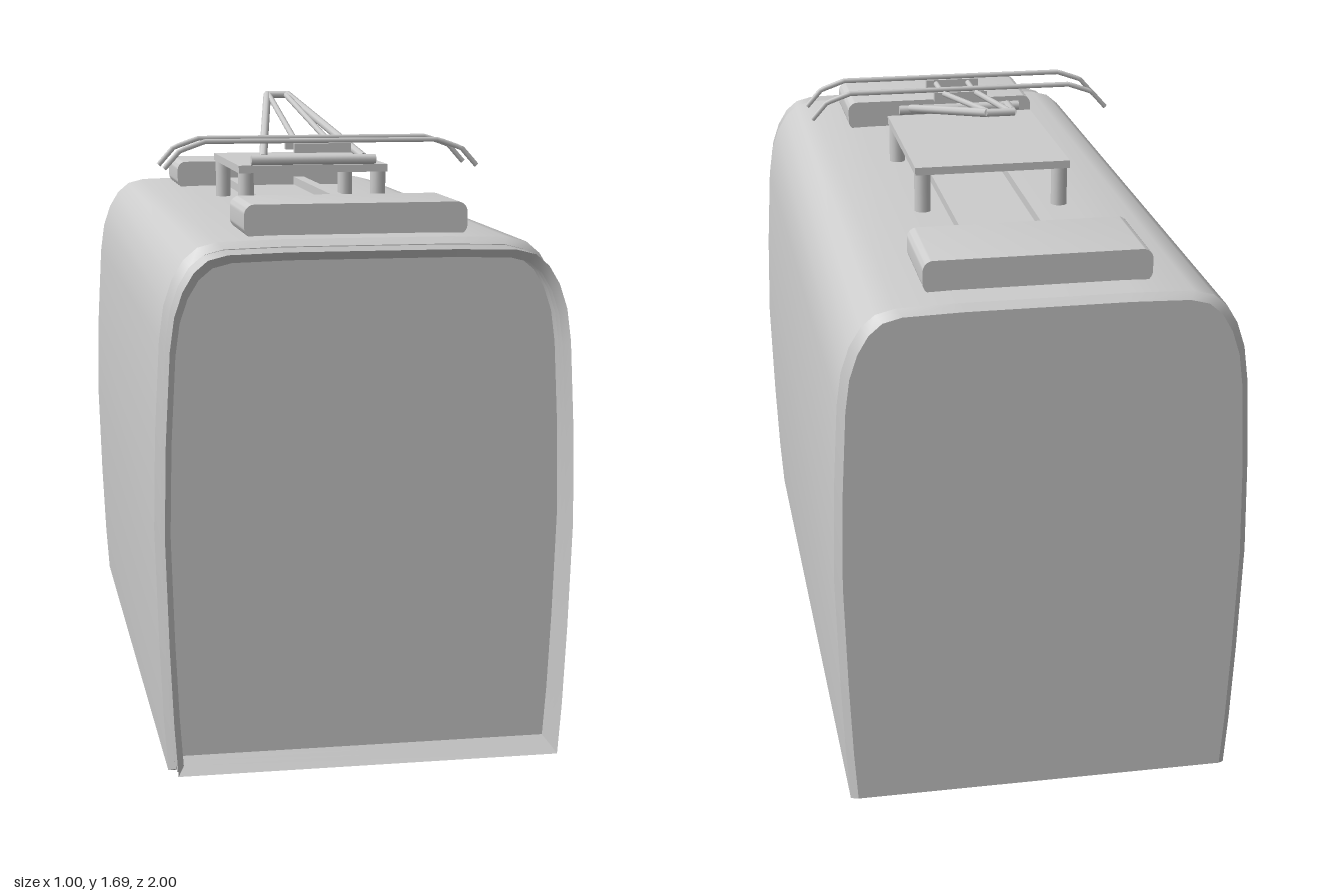
import * as THREE from 'three';
import { toCreasedNormals } from 'three/addons/utils/BufferGeometryUtils.js';

const V = (x, y, z) => new THREE.Vector3(x, y, z);

export function createModel() {
  const group = new THREE.Group();
  const grey = new THREE.MeshStandardMaterial({ color: 0xcccccc });
  grey.name = 'light grey';
  const greyOpen = new THREE.MeshStandardMaterial({ color: 0xcccccc, side: THREE.DoubleSide });
  greyOpen.name = 'light grey two-sided';

  const add = (name, geo, x = 0, y = 0, z = 0, mat = grey) => {
    const m = new THREE.Mesh(geo, mat);
    m.name = name;
    m.position.set(x, y, z);
    group.add(m);
    return m;
  };
  const box = (name, w, h, d, x, y, z) => add(name, new THREE.BoxGeometry(w, h, d), x, y, z);

  // Straight round bar between two points
  const rod = (name, a, b, r) => {
    const m = add(name, new THREE.CylinderGeometry(r, r, a.distanceTo(b), 8));
    m.position.copy(a).lerp(b, 0.5);
    m.quaternion.setFromUnitVectors(V(0, 1, 0), b.clone().sub(a).normalize());
  };

  // Car cross-section: half outline, mirrored, counter-clockwise from the front
  const half = [[0.474, 0.12], [0.483, 0.25], [0.492, 0.45], [0.5, 0.72], [0.495, 0.95], [0.483, 1.17],
    [0.472, 1.25], [0.452, 1.31], [0.425, 1.355], [0.392, 1.383], [0.345, 1.395], [0.2, 1.399]];
  const outline = [...half, ...half.map(([x, y]) => [-x, y]).reverse()];
  // One ring of the section, fitted to a half width and a height range
  const ring = (z, hw, y0, y1) =>
    outline.map(([x, y]) => V(x * hw / 0.5, y0 + (y - 0.12) / 1.279 * (y1 - y0), z));

  const loft = (rings) => {
    const pos = [], idx = [], n = outline.length;
    rings.forEach((r) => r.forEach((p) => pos.push(p.x, p.y, p.z)));
    for (let i = 0; i < rings.length - 1; i++) {
      for (let j = 0; j < n; j++) {
        const a = i * n + j, b = i * n + (j + 1) % n;
        idx.push(a, b, b + n, a, b + n, a + n);
      }
    }
    const g = new THREE.BufferGeometry();
    g.setAttribute('position', new THREE.Float32BufferAttribute(pos, 3));
    g.setIndex(idx);
    return toCreasedNormals(g, 0.6);
  };
  const cap = (r) => new THREE.ShapeGeometry(new THREE.Shape(r.map((p) => new THREE.Vector2(p.x, p.y))));

  // Body shell with small end bevels
  const endRing = (z) => ring(z, 0.482, 0.13, 1.385);
  add('body', loft([endRing(-1), ring(-0.98, 0.5, 0.12, 1.4), ring(0.88, 0.5, 0.12, 1.4), endRing(0.9)]));
  add('frontWall', cap(endRing(0.9)), 0, 0, 0.9);
  const back = add('backWall', cap(endRing(-1)), 0, 0, -1);
  back.rotation.y = Math.PI;

  // Open folded gangway bellows at the front
  const folds = [];
  for (let i = 0; i <= 6; i++) {
    const z = 0.9 + i / 60;
    folds.push(i % 2 ? ring(z, 0.472, 0.168, 1.363) : ring(z, 0.487, 0.148, 1.383));
  }
  add('gangwayBellows', loft(folds), 0, 0, 0, greyOpen);

  // Roof equipment boxes with rounded long edges
  const w = 0.27, h = 0.08, r = 0.025;
  const s = new THREE.Shape();
  s.absarc(w - r, r, r, -Math.PI / 2, 0);
  s.absarc(w - r, h - r, r, 0, Math.PI / 2);
  s.absarc(-w + r, h - r, r, Math.PI / 2, Math.PI);
  s.absarc(-w + r, r, r, Math.PI, Math.PI * 1.5);
  const boxGeo = toCreasedNormals(
    new THREE.ExtrudeGeometry(s, { depth: 0.25, bevelEnabled: false, curveSegments: 5 }), 0.6);
  for (const z of [0.543, -0.893]) add('roofBox', boxGeo, 0, 1.393, z);

  // Roof rails, pantograph posts and plate
  for (const x of [-0.103, 0.103]) {
    box('roofRail', 0.032, 0.035, 1.22, x, 1.406, -0.05);
  }
  for (const x of [-0.178, 0.178]) {
    for (const z of [0.18, -0.285]) {
      add('pantographPost', new THREE.CylinderGeometry(0.021, 0.021, 0.12, 12), x, 1.448, z);
    }
  }
  box('pantographPlate', 0.4, 0.02, 0.515, 0, 1.511, -0.055);

  // Pantograph arms
  rod('armPivot', V(-0.167, 1.535, 0.203), V(0.167, 1.535, 0.203), 0.013);
  rod('armTip', V(-0.035, 1.682, -0.41), V(0.035, 1.682, -0.41), 0.01);
  for (const k of [-1, 1]) {
    rod('lowerArm', V(k * 0.135, 1.54, 0.2), V(k * 0.03, 1.682, -0.41), 0.011);
    rod('upperArm', V(k * 0.045, 1.58, 0.19), V(k * 0.025, 1.682, -0.41), 0.008);
    rod('headLink', V(k * 0.045, 1.575, 0.18), V(k * 0.045, 1.575, 0.335), 0.008);
  }

  // Contact bows with drooping ends
  const bow = new THREE.CurvePath();
  const pts = [[-0.41, 1.525], [-0.37, 1.57], [-0.305, 1.593], [0.305, 1.593], [0.37, 1.57], [0.41, 1.525]]
    .map(([x, y]) => V(x, y, 0));
  pts.slice(1).forEach((p, i) => bow.add(new THREE.LineCurve3(pts[i], p)));
  const bowGeo = new THREE.TubeGeometry(bow, 60, 0.007, 6);
  for (const z of [0.185, 0.33]) {
    add('contactBow', bowGeo, 0, 0, z, greyOpen);
    box('bowBracket', 0.147, 0.024, 0.018, 0, 1.574, z);
  }

  // Underframe, axles and flanged wheels
  box('underframe', 0.76, 0.012, 0.96, 0, 0.121, -0.048);
  const profile = [[0, 0.026], [0.07, 0.026], [0.085, 0.02], [0.108, 0.022], [0.112, -0.008],
    [0.129, -0.014], [0.129, -0.02], [0.1, -0.026], [0, -0.02]]
    .reverse().map(([px, py]) => new THREE.Vector2(px, py));
  const wheelGeo = toCreasedNormals(new THREE.LatheGeometry(profile, 16), 0.6);
  for (const z of [0.33, -0.425]) {
    rod('axle', V(-0.31, 0.118, z), V(0.31, 0.118, z), 0.012);
    for (const k of [-1, 1]) {
      const wheel = add('wheel', wheelGeo, k * 0.316, 0.129, z);
      wheel.rotation.z = -k * Math.PI / 2;
    }
  }
  return group;
}
